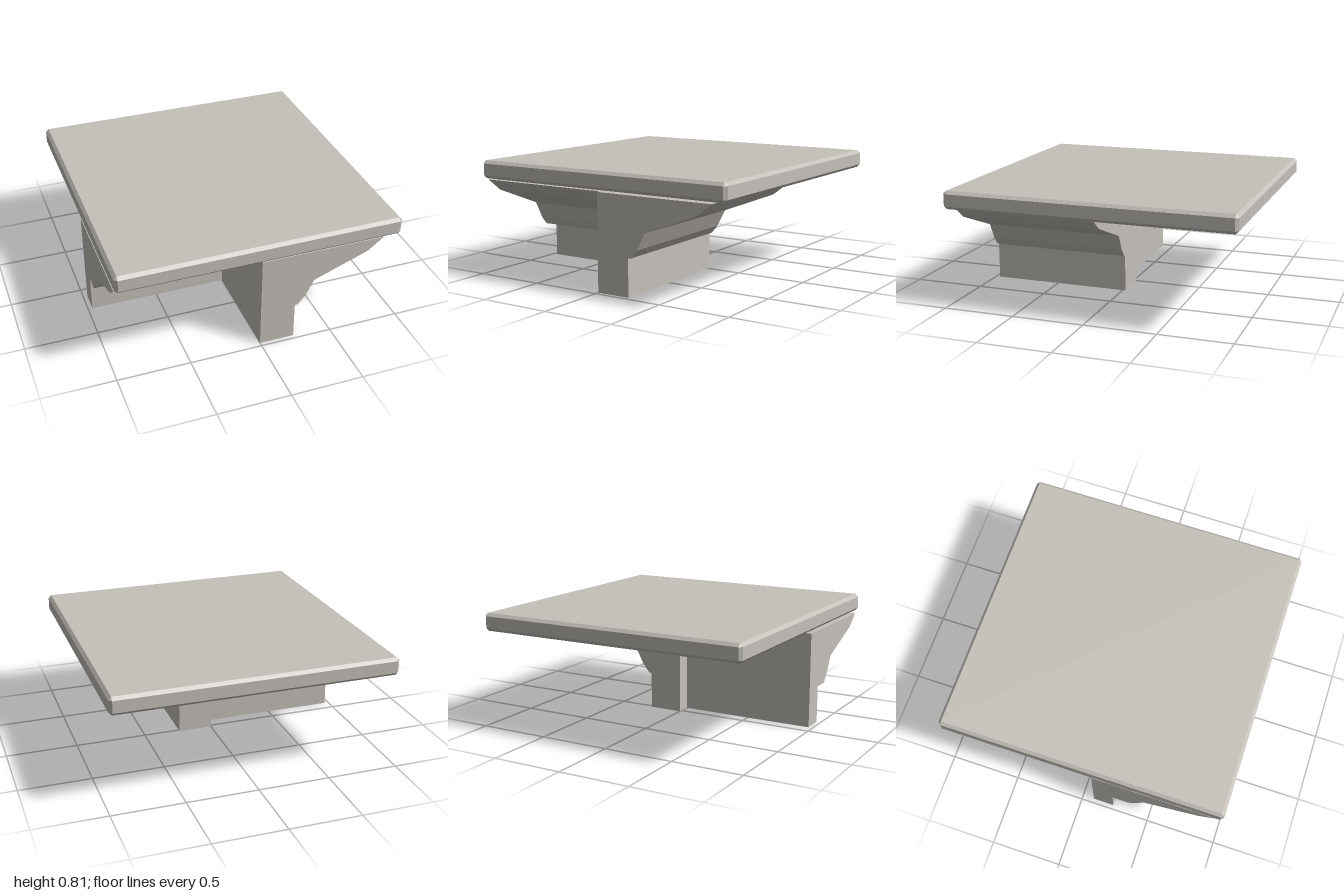
import * as THREE from 'three';
import { ConvexGeometry } from 'three/addons/geometries/ConvexGeometry.js';

// Box with every edge cut at 45 degrees
function chamferedBox(w, h, d, c) {
  const points = [];
  for (const sx of [-1, 1]) for (const sy of [-1, 1]) for (const sz of [-1, 1]) {
    for (let axis = 0; axis < 3; axis++) {
      const inset = [c, c, c];
      inset[axis] = 0;
      points.push(new THREE.Vector3(
        sx * (w / 2 - inset[0]), sy * (h / 2 - inset[1]), sz * (d / 2 - inset[2])));
    }
  }
  return new ConvexGeometry(points);
}

// Moulded bracket: a wall of the given thickness under a stepped, flaring cornice
function bracketGeometry(wall, length) {
  const profile = [
    [0, 0], [wall, 0], [wall, 0.26], [0.262, 0.26], [0.31, 0.317],
    [0.373, 0.435], [0.75, 0.58], [0.86, 0.665], [0, 0.665],
  ];
  const shape = new THREE.Shape(profile.map(([x, y]) => new THREE.Vector2(x, y)));
  return new THREE.ExtrudeGeometry(shape, { depth: length, bevelEnabled: false });
}

export function createModel() {
  const model = new THREE.Group();
  model.name = 'corniceCorner';
  const stone = new THREE.MeshStandardMaterial({ color: 0xc4c0ba });
  stone.name = 'pale stone';

  const add = (name, geometry, x, y, z, turn = 0) => {
    const mesh = new THREE.Mesh(geometry, stone);
    mesh.name = name;
    mesh.position.set(x, y, z);
    mesh.rotation.y = turn;
    model.add(mesh);
  };

  // Flat slab floating just above the brackets
  add('topSlab', chamferedBox(1.95, 0.125, 2, 0.021), 0, 0.7425, 0);

  // Bracket flaring to +x, running front to back
  add('sideBracket', bracketGeometry(0.242, 0.99), 0, 0, -0.02);

  // Bracket flaring to +z, running out to -x, with a thinner wall
  add('frontBracket', bracketGeometry(0.147, 0.97), 0, 0, 0.083, -Math.PI / 2);

  return model;
}
